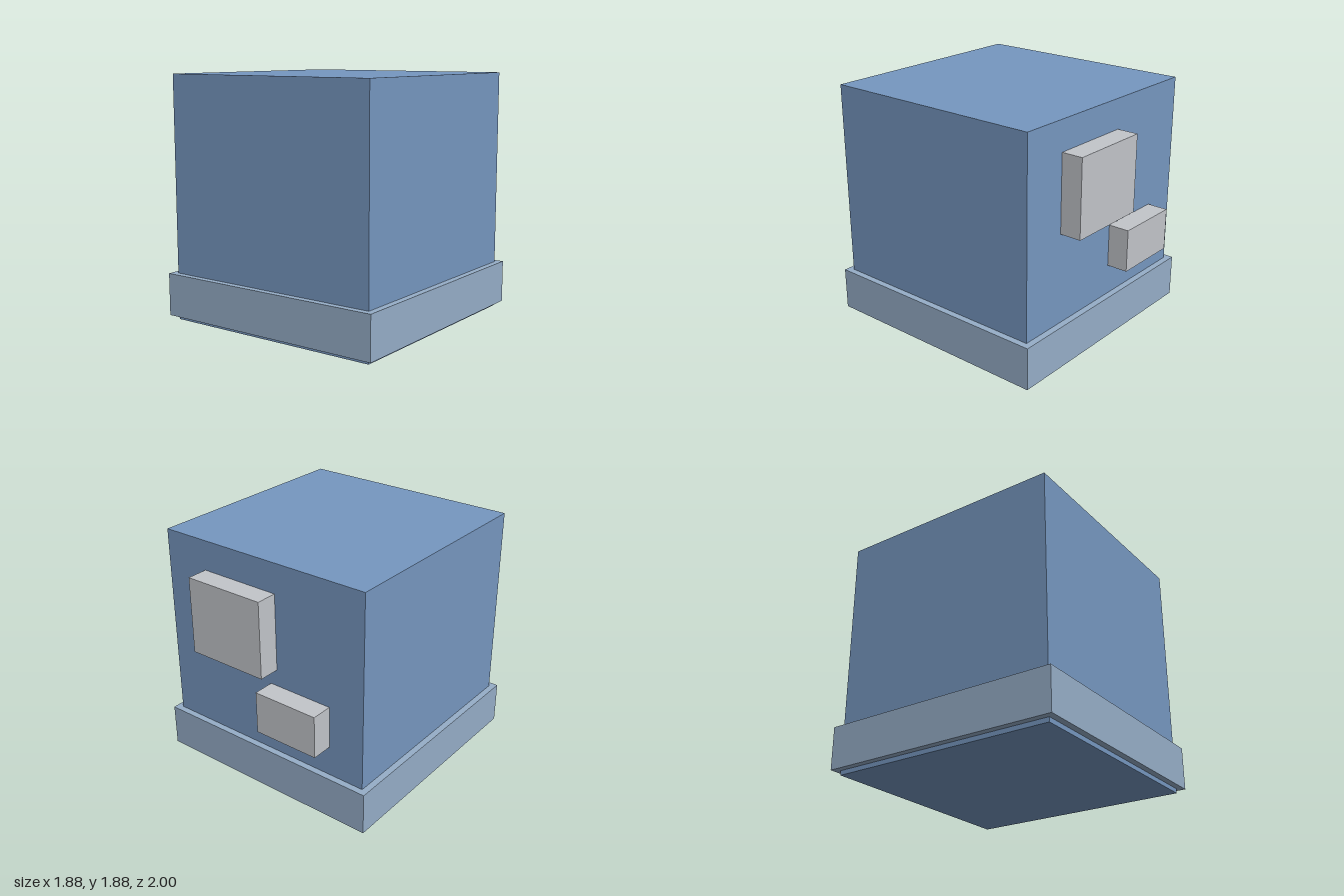
import * as THREE from 'three';

export function createModel() {
  const group = new THREE.Group();

  const material = (name, color) => {
    const m = new THREE.MeshStandardMaterial({ color });
    m.name = name;
    return m;
  };
  const blue = material('blue', 0x7697c0);
  const paleBlue = material('pale blue', 0x96aec8);
  const grey = material('light grey', 0xc2c5ca);

  // Box given by its minimum and maximum corners
  const box = (name, mat, [x0, y0, z0], [x1, y1, z1]) => {
    const mesh = new THREE.Mesh(new THREE.BoxGeometry(x1 - x0, y1 - y0, z1 - z0), mat);
    mesh.position.set((x0 + x1) / 2, (y0 + y1) / 2, (z0 + z1) / 2);
    mesh.name = name;
    group.add(mesh);
  };

  // Main block with a wider band round its foot
  box('body', blue, [-0.89, 0, -0.835], [0.89, 1.885, 0.95]);
  box('baseBand', paleBlue, [-0.94, 0.035, -0.885], [0.94, 0.365, 1]);

  // Units mounted on the back wall
  box('upperBackUnit', grey, [-0.13, 1.06, -1], [0.525, 1.655, -0.835]);
  box('lowerBackUnit', grey, [-0.6, 0.6, -1], [-0.07, 0.93, -0.835]);

  return group;
}
